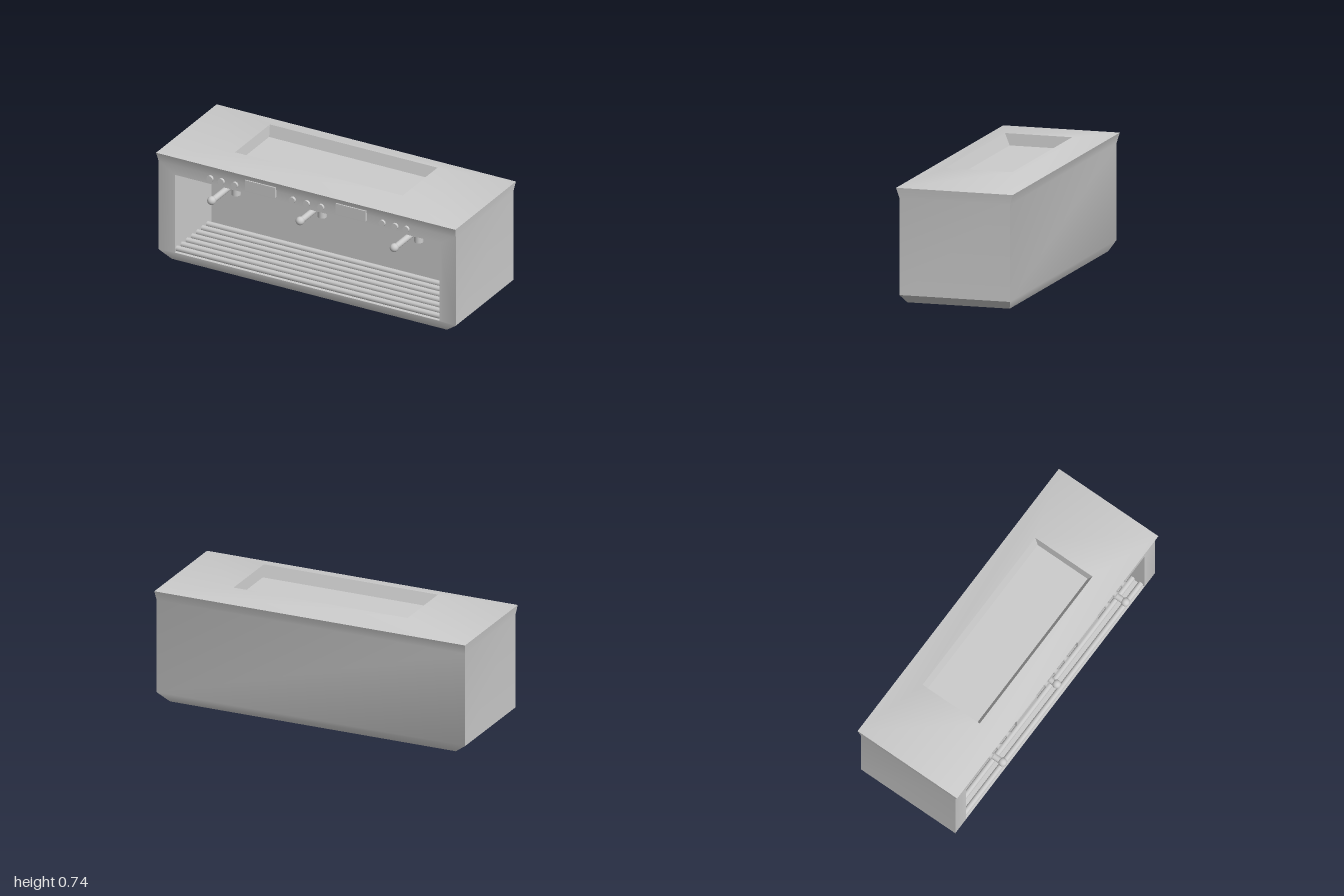
import * as THREE from 'three';
import { toCreasedNormals } from 'three/addons/utils/BufferGeometryUtils.js';

const material = new THREE.MeshStandardMaterial({ color: 0xcccccc });

function part(parent, name, geometry, x = 0, y = 0, z = 0) {
  const mesh = new THREE.Mesh(geometry, material);
  mesh.name = name;
  mesh.position.set(x, y, z);
  parent.add(mesh);
  return mesh;
}

// Rectangular cross-sections: level (seen from above) and upright (seen from the front)
const level = (x, y, z0, z1) => [[-x, y, z1], [x, y, z1], [x, y, z0], [-x, y, z0]];
const upright = (x, y0, y1, z) => [[-x, y0, z], [x, y0, z], [x, y1, z], [-x, y1, z]];

function housingGeometry() {
  const positions = [];
  const quad = (a, b, c, d) => [a, b, c, a, c, d].forEach(p => positions.push(...p));
  const band = (a, b, skip = -1) => a.forEach((p, i) => {
    const j = (i + 1) % 4;
    if (i !== skip) quad(p, a[j], b[j], b[i]);
  });

  // Outer shell, flared rim, sloping top and sunken tray
  const rings = [
    level(0.92, 0, -0.345, 0.28),
    level(0.993, 0.055, -0.372, 0.305),
    level(0.993, 0.63, -0.372, 0.305),
    level(1, 0.69, -0.39, 0.323),
    level(0.56, 0.735, -0.242, 0.168),
    level(0.553, 0.665, -0.22, 0.138),
  ];
  quad(...[...rings[0]].reverse());
  for (let i = 0; i < rings.length - 1; i++) band(rings[i], rings[i + 1], i === 1 ? 0 : -1);
  quad(...rings[rings.length - 1]);

  // Front frame and the work bay behind it
  const bay = [
    upright(0.993, 0.055, 0.63, 0.305),
    upright(0.885, 0.06, 0.567, 0.305),
    upright(0.885, 0.06, 0.567, -0.125),
  ];
  band(bay[0], bay[1]);
  band(bay[1], bay[2]);
  quad(...bay[2]);

  const geometry = new THREE.BufferGeometry();
  geometry.setAttribute('position', new THREE.Float32BufferAttribute(positions, 3));
  return toCreasedNormals(geometry, 0.5);
}

export function createModel() {
  const model = new THREE.Group();
  model.name = 'espressoMachine';
  part(model, 'housing', housingGeometry());

  // Drip grate bars
  const grate = new THREE.Group();
  grate.name = 'dripGrate';
  model.add(grate);
  const bar = new THREE.CylinderGeometry(0.017, 0.017, 1.77, 10).rotateZ(Math.PI / 2);
  for (let i = 0; i < 7; i++) part(grate, 'grateBar', bar, 0, 0.078, 0.28 - i * 0.06);

  // Brew groups: head, spout and ball-ended handle
  const head = toCreasedNormals(new THREE.CylinderGeometry(0.133, 0.133, 0.105, 16), 0.5);
  const spout = new THREE.CylinderGeometry(0.027, 0.027, 0.08, 16);
  const ball = new THREE.SphereGeometry(0.026, 20, 14);
  for (const [x, reach] of [[-0.605, 0.365], [-0.03, 0.337], [0.615, 0.365]]) {
    const group = new THREE.Group();
    group.name = 'brewGroup';
    group.position.x = x;
    model.add(group);
    part(group, 'brewHead', head, 0, 0.517, 0);
    part(group, 'spout', spout, -0.003, 0.445, 0.07);
    const length = reach - 0.08;
    const handle = new THREE.CylinderGeometry(0.019, 0.019, length, 16).rotateX(Math.PI / 2);
    part(group, 'handle', handle, 0, 0.493, reach - length / 2);
    part(group, 'handleKnob', ball, 0, 0.496, reach);
  }

  // Control buttons
  const button = new THREE.CylinderGeometry(0.02, 0.02, 0.03, 20).rotateX(Math.PI / 2);
  for (const x of [-0.645, -0.57, -0.48, -0.095, 0, 0.095, 0.505, 0.59, 0.665]) {
    part(model, 'button', button, x, 0.605, 0.305);
  }

  // Display panels
  for (const x of [-0.305, 0.3]) {
    part(model, 'displayPanel', new THREE.BoxGeometry(0.2, 0.066, 0.04), x, 0.627, 0.302);
  }

  return model;
}
